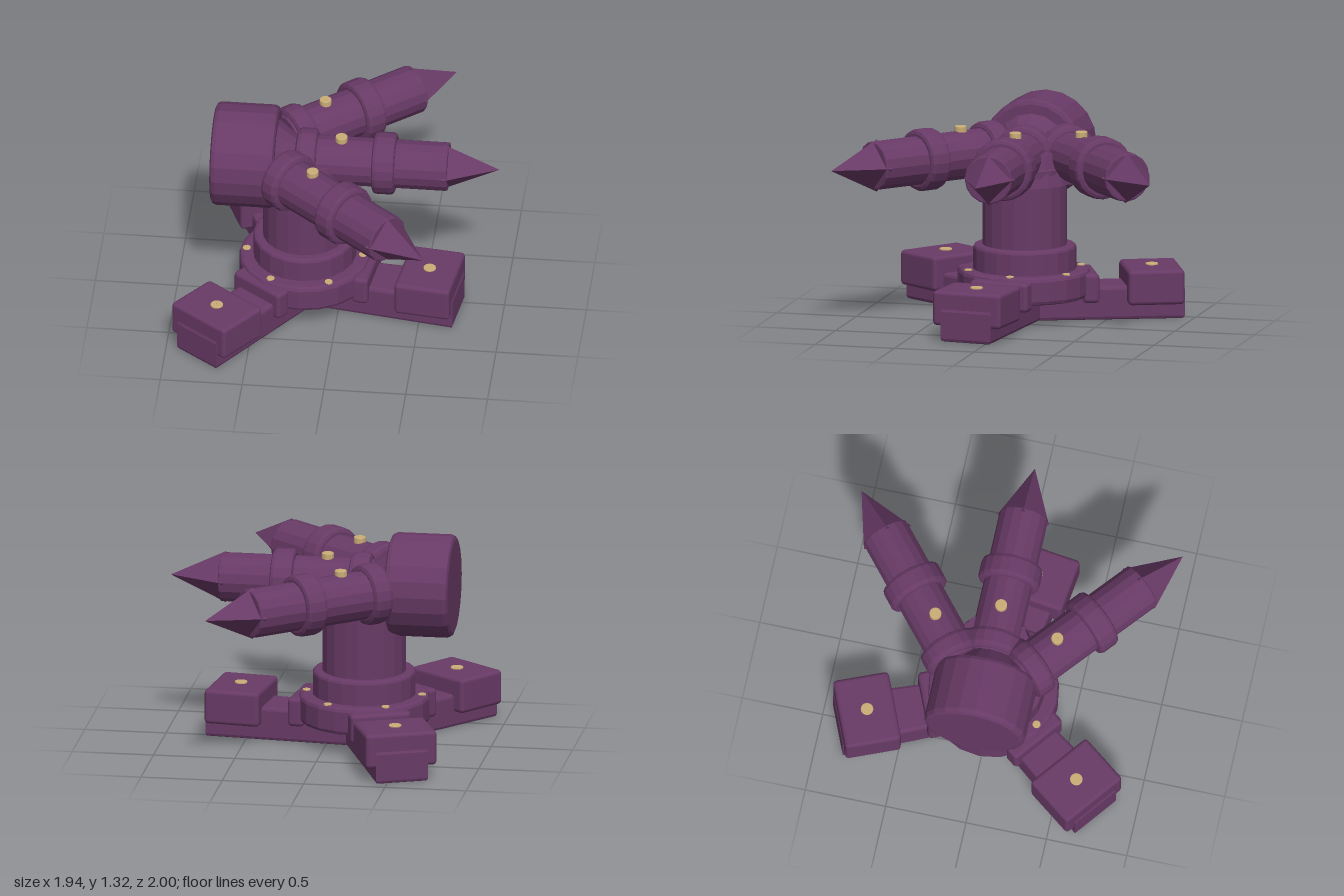
import * as THREE from 'three';
import { RoundedBoxGeometry } from 'three/addons/geometries/RoundedBoxGeometry.js';

const purple = new THREE.MeshStandardMaterial({ color: 0x683a66 });
purple.name = 'plum metal';
const tan = new THREE.MeshStandardMaterial({ color: 0xcaad77 });
tan.name = 'brass';

// Faceted look: every face gets its own normal
function flat(geo) {
  const g = geo.index ? geo.toNonIndexed() : geo;
  g.computeVertexNormals();
  return g;
}

function add(parent, name, geo, mat = purple, x = 0, y = 0, z = 0) {
  const m = new THREE.Mesh(geo, mat);
  m.name = name;
  m.position.set(x, y, z);
  parent.add(m);
  return m;
}

// Solid of revolution about y from y0 to y1, with bevelled rims
function drum(r, y0, y1, b = 0.02, sides = 20) {
  const p = [[0.0005, y0], [r - b, y0], [r - b * 0.3, y0 + b * 0.3], [r, y0 + b],
    [r, y1 - b], [r - b * 0.3, y1 - b * 0.3], [r - b, y1], [0.0005, y1]];
  return flat(new THREE.LatheGeometry(p.map(([x, y]) => new THREE.Vector2(x, y)), sides));
}

// The same solid laid along +x
const drumX = (r, x0, x1, b, sides) => drum(r, x0, x1, b, sides).rotateZ(-Math.PI / 2);

function makeLeg() {
  const leg = new THREE.Group();
  leg.name = 'leg';
  // Beam widening slightly towards the foot
  const s = new THREE.Shape();
  s.moveTo(0, -0.11);
  s.lineTo(0.94, -0.143);
  s.lineTo(0.94, 0.143);
  s.lineTo(0, 0.11);
  s.closePath();
  const beam = new THREE.ExtrudeGeometry(s, {
    depth: 0.165, bevelEnabled: true, bevelSize: 0.02, bevelThickness: 0.02, bevelSegments: 2,
  });
  beam.rotateX(Math.PI / 2).translate(0, 0.185, 0);
  add(leg, 'legBeam', flat(beam));
  add(leg, 'footPad', new RoundedBoxGeometry(0.345, 0.215, 0.445, 2, 0.025), purple, 0.78, 0.203, 0);
  add(leg, 'legClamp', new RoundedBoxGeometry(0.1, 0.18, 0.38, 2, 0.025), purple, 0.385, 0.2, 0);
  add(leg, 'footBolt', drum(0.039, 0.3, 0.32, 0.004, 14), tan, 0.78, 0, 0);
  return leg;
}

function makeBarrel() {
  const barrel = new THREE.Group();
  barrel.name = 'barrel';
  add(barrel, 'barrelTube', drumX(0.15, 0.3, 1.245, 0.01, 16));
  add(barrel, 'barrelCollar', drumX(0.188, 0.315, 0.445, 0.03, 20));
  add(barrel, 'barrelRing', drumX(0.19, 0.785, 0.925, 0.025, 20));
  // Four-sided spike
  const spike = new THREE.ConeGeometry(0.162, 0.34, 4).rotateZ(-Math.PI / 2);
  add(barrel, 'barrelSpike', flat(spike), purple, 1.385, 0, 0);
  add(barrel, 'barrelBolt', drum(0.037, 0.13, 0.18, 0.005, 14), tan, 0.59, 0, 0);
  return barrel;
}

export function createModel() {
  const model = new THREE.Group();
  model.name = 'tripleBarrelTurret';

  // Base and column
  const base = new THREE.Group();
  base.name = 'base';
  base.position.x = -0.22;
  model.add(base);
  add(base, 'hubDisc', drum(0.4, 0.14, 0.31, 0.025, 20));
  add(base, 'columnCollar', drum(0.315, 0.29, 0.46, 0.02, 20));
  add(base, 'column', drum(0.257, 0.44, 0.95, 0.01, 20));
  for (let i = 0; i < 3; i++) {
    const leg = makeLeg();
    leg.rotation.y = -THREE.MathUtils.degToRad(7.4 + i * 120);
    base.add(leg);
  }
  for (let i = 0; i < 6; i++) {
    const a = i * Math.PI / 3;
    add(base, 'hubRivet', drum(0.025, 0.3, 0.317, 0.003, 10), tan,
      Math.cos(a) * 0.355, 0, Math.sin(a) * 0.355);
  }

  // Head: tapered housing on the column, neck and rear drum
  add(model, 'housing', flat(new THREE.CylinderGeometry(0.23, 0.285, 0.2, 16)), purple, -0.23, 0.94, 0);
  const neck = new THREE.CylinderGeometry(0.13, 0.24, 0.14, 16).rotateZ(-Math.PI / 2);
  add(model, 'neck', flat(neck), purple, -0.325, 1, 0);
  add(model, 'rearDrum', drumX(0.315, -0.775, -0.385, 0.03, 20), purple, 0, 1.003, 0);

  // Barrels fan out from one pivot inside the drum
  for (const deg of [-40, 0, 40]) {
    const barrel = makeBarrel();
    barrel.position.set(-0.585, 1.003, 0);
    barrel.rotation.y = THREE.MathUtils.degToRad(deg);
    model.add(barrel);
  }
  return model;
}
